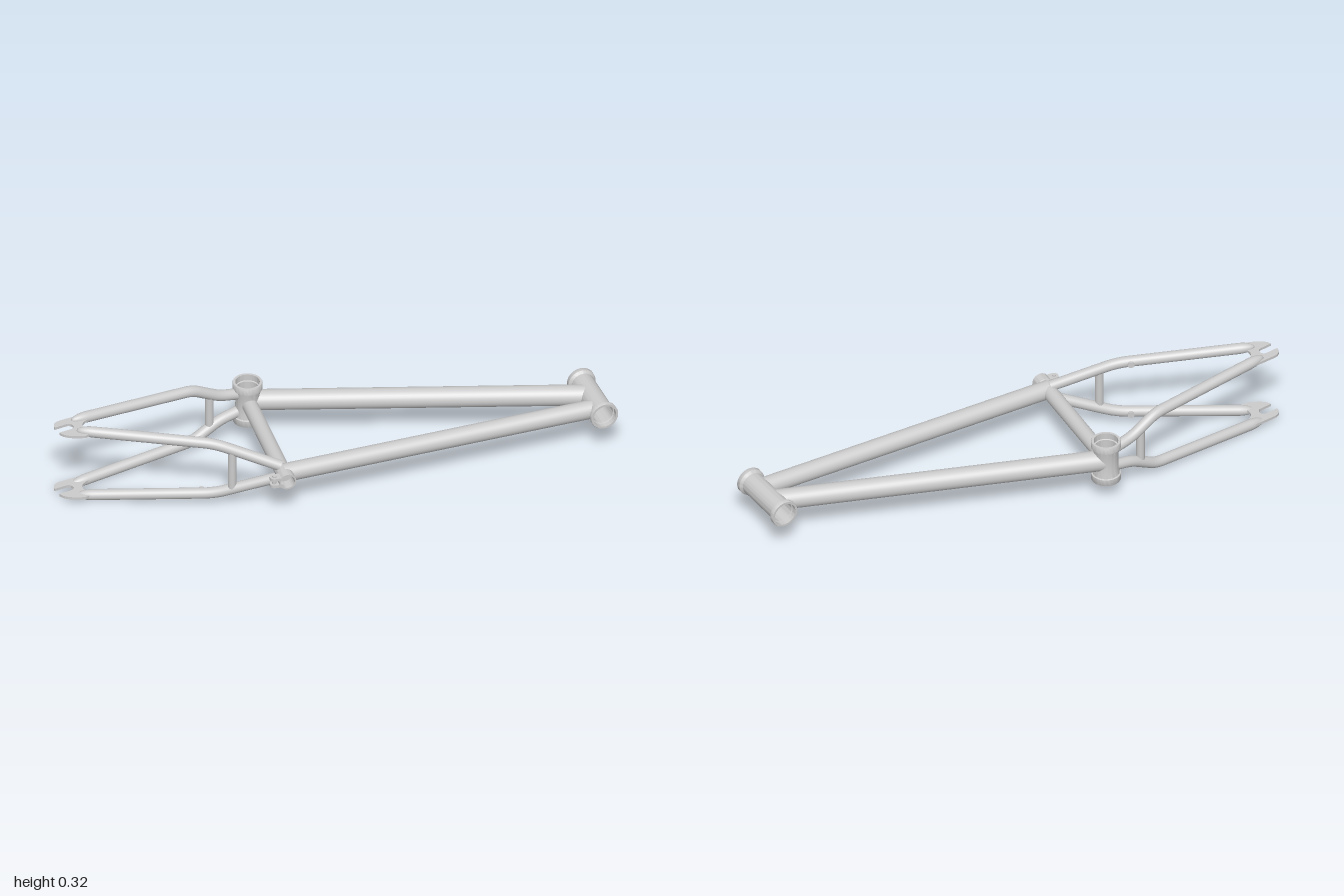
import * as THREE from 'three';
import { toCreasedNormals } from 'three/addons/utils/BufferGeometryUtils.js';

const MID = 0.163; // height of the frame's plane of symmetry
const V = (x, y, z) => new THREE.Vector3(x, MID + y, z);
const material = new THREE.MeshStandardMaterial({ color: 0xcccccc });

// Cylinders that the tube ends are mitred against: point, axis, radius
const headTop = V(0.944, 0, 0.127), headBottom = V(0.911, 0, 0.38);
const shell = { c: V(-0.195, 0, -0.332), u: new THREE.Vector3(0, 1, 0), r: 0.043 };
const head = { c: headTop, u: headBottom.clone().sub(headTop).normalize(), r: 0.042 };
const seatEnd = V(-0.315, 0, 0.206);
const seat = { c: seatEnd, u: seatEnd.clone().sub(shell.c).setY(0).normalize(), r: 0.027 };

export function createModel() {
  const group = new THREE.Group();
  group.name = 'bicycleFrame';

  const add = (name, geometry) => {
    const mesh = new THREE.Mesh(geometry, material);
    mesh.name = name;
    group.add(mesh);
    return mesh;
  };

  // Slide one ring of vertices along dir until it meets the cylinder
  function mitre(geometry, first, count, dir, cyl) {
    const pos = geometry.attributes.position, p = new THREE.Vector3();
    const flat = v => v.clone().addScaledVector(cyl.u, -v.dot(cyl.u));
    const d = flat(dir);
    for (let i = first; i < first + count; i++) {
      p.fromBufferAttribute(pos, i);
      const w = flat(p.clone().sub(cyl.c));
      const a = d.dot(d), b = w.dot(d), c = w.dot(w) - cyl.r ** 2;
      const t = (-b - Math.sqrt(Math.max(0, b * b - a * c))) / a;
      p.addScaledVector(dir, t);
      pos.setXYZ(i, p.x, p.y, p.z);
    }
  }

  // Round tube through points with filleted bends and optional mitred ends
  function tube(name, points, r, startCyl, endCyl, fillet = 0.045) {
    const path = new THREE.CurvePath();
    const n = points.length, sides = 32;
    let from = points[0];
    for (let i = 1; i < n - 1; i++) {
      const p = points[i];
      const a = p.clone().add(points[i - 1].clone().sub(p).setLength(fillet));
      const b = p.clone().add(points[i + 1].clone().sub(p).setLength(fillet));
      path.add(new THREE.LineCurve3(from, a));
      path.add(new THREE.QuadraticBezierCurve3(a, p, b));
      from = b;
    }
    path.add(new THREE.LineCurve3(from, points[n - 1]));
    const segments = n > 2 ? 60 : 2;
    const g = new THREE.TubeGeometry(path, segments, r, sides, false);
    const dir = (a, b) => b.clone().sub(a).normalize();
    if (startCyl) mitre(g, 0, sides + 1, dir(points[1], points[0]), startCyl);
    if (endCyl) mitre(g, segments * (sides + 1), sides + 1, dir(points[n - 2], points[n - 1]), endCyl);
    return add(name, g);
  }

  // Turned part whose profile runs from a along dir
  function turned(name, profile, a, dir) {
    const g = new THREE.LatheGeometry(profile.map(p => new THREE.Vector2(...p)), 48);
    const mesh = add(name, toCreasedNormals(g, 0.5));
    mesh.position.copy(a);
    mesh.quaternion.setFromUnitVectors(new THREE.Vector3(0, 1, 0), dir);
    return mesh;
  }

  // Long rounded tip closing a stay
  function tip(name, prev, end, r, length) {
    const mesh = add(name, new THREE.SphereGeometry(r, 32, 16));
    mesh.scale.z = length / r;
    mesh.position.copy(end);
    mesh.quaternion.setFromUnitVectors(new THREE.Vector3(0, 0, 1), end.clone().sub(prev).normalize());
  }

  // Head tube with a collar at each end
  const L = headTop.distanceTo(headBottom);
  turned('headTube', [
    [0.052, 0], [0.053, 0.002], [0.053, 0.018], [0.0435, 0.026], [0.0435, L - 0.026],
    [0.053, L - 0.018], [0.053, L - 0.002], [0.052, L], [0.044, L], [0.044, L - 0.02],
    [0.04, L - 0.022], [0.04, 0.022], [0.044, 0.02], [0.044, 0], [0.052, 0],
  ], headTop, head.u);

  // Bottom bracket shell, waisted between two cups
  const h = 0.084;
  turned('bottomBracketShell', [
    [0.054, -h], [0.055, -h + 0.002], [0.055, -h + 0.026], [0.05, -h + 0.028], [0.046, -0.035],
    [0.045, 0], [0.046, 0.035], [0.05, h - 0.028], [0.055, h - 0.026], [0.055, h - 0.002], [0.054, h],
    [0.045, h], [0.045, h - 0.025], [0.041, h - 0.027], [0.041, -h + 0.027], [0.045, -h + 0.025],
    [0.045, -h], [0.054, -h],
  ], shell.c, shell.u);

  // Main triangle
  tube('downTube', [V(-0.1, 0, -0.29), V(0.85, 0, 0.189)], 0.039, shell, head);
  tube('topTube', [V(-0.22, 0, 0.157), V(0.84, 0, 0.306)], 0.035, seat, head);
  const seatBase = shell.c.clone().addScaledVector(seat.u, 0.07);
  const collarBase = seatEnd.clone().addScaledVector(seat.u, -0.075);
  tube('seatTube', [seatBase, collarBase], 0.029, shell);
  turned('seatCollar', [
    [0.029, 0], [0.029, 0.035], [0.032, 0.037], [0.032, 0.075], [0.026, 0.075], [0.026, 0.03], [0, 0.03],
  ], collarBase, seat.u);

  // Seat clamp ears with a bolt through them
  const clamp = new THREE.Group();
  clamp.name = 'seatClamp';
  clamp.position.set(-0.357, MID, 0.178);
  clamp.rotation.y = -0.22;
  group.add(clamp);
  for (const s of [-1, 1]) {
    const ear = add('clampEar', new THREE.CylinderGeometry(0.017, 0.017, 0.012, 24));
    const web = add('clampWeb', new THREE.BoxGeometry(0.03, 0.012, 0.034));
    ear.position.set(0, s * 0.014, 0);
    web.position.set(0.015, s * 0.014, 0);
    clamp.add(ear, web);
  }
  clamp.add(add('clampBolt', new THREE.CylinderGeometry(0.008, 0.008, 0.05, 16)));

  // Dropout plate outline in x and z, with an open axle slot
  const outline = new THREE.Shape();
  outline.moveTo(-1, -0.33);
  outline.quadraticCurveTo(-0.995, -0.361, -0.96, -0.361);
  outline.lineTo(-0.85, -0.358);
  outline.lineTo(-0.85, -0.322);
  outline.quadraticCurveTo(-0.915, -0.315, -0.905, -0.265);
  outline.lineTo(-0.875, -0.235);
  outline.lineTo(-0.925, -0.228);
  outline.quadraticCurveTo(-0.995, -0.255, -1, -0.292);
  outline.lineTo(-0.952, -0.292);
  outline.absarc(-0.952, -0.31, 0.018, Math.PI / 2, -Math.PI / 2, true);
  outline.lineTo(-1, -0.328);
  const plate = new THREE.ExtrudeGeometry(outline, { depth: 0.01, bevelEnabled: false, curveSegments: 16 });
  plate.rotateX(Math.PI / 2).translate(0, 0.005, 0);
  const plateGeometry = toCreasedNormals(plate, 0.5);

  // Rear stays, dropouts and brake bosses on both sides
  for (const s of [-1, 1]) {
    const side = s > 0 ? 'upper' : 'lower';
    const chain = [V(-0.25, s * 0.042, -0.338), V(-0.31, s * 0.054, -0.339), V(-0.42, s * 0.112, -0.34), V(-0.86, s * 0.138, -0.34)];
    tube(side + 'ChainStay', chain, 0.021, shell, null, 0.03);
    tip(side + 'ChainStayTip', chain[2], chain[3], 0.021, 0.065);

    const stay = [V(-0.305, s * 0.024, 0.13), V(-0.51, s * 0.109, 0), V(-0.888, s * 0.139, -0.24)];
    tube(side + 'SeatStay', stay, 0.0205, null, null);
    tip(side + 'SeatStayTip', stay[1], stay[2], 0.0205, 0.06);

    add(side + 'Dropout', plateGeometry).position.y = MID + s * 0.136;

    const out = new THREE.Vector3(0.536, 0, -0.844);
    const boss = add(side + 'BrakeBoss', new THREE.CylinderGeometry(0.012, 0.012, 0.03, 24));
    boss.position.copy(V(-0.552, s * 0.112, -0.027)).addScaledVector(out, 0.012);
    boss.quaternion.setFromUnitVectors(new THREE.Vector3(0, 1, 0), out);
  }

  // Cross bridges between the stays
  tube('seatStayBridge', [V(-0.457, -0.085, 0.037), V(-0.457, 0.085, 0.037)], 0.016);
  tube('chainStayBridge', [V(-0.35, -0.075, -0.34), V(-0.35, 0.075, -0.34)], 0.016);

  return group;
}
